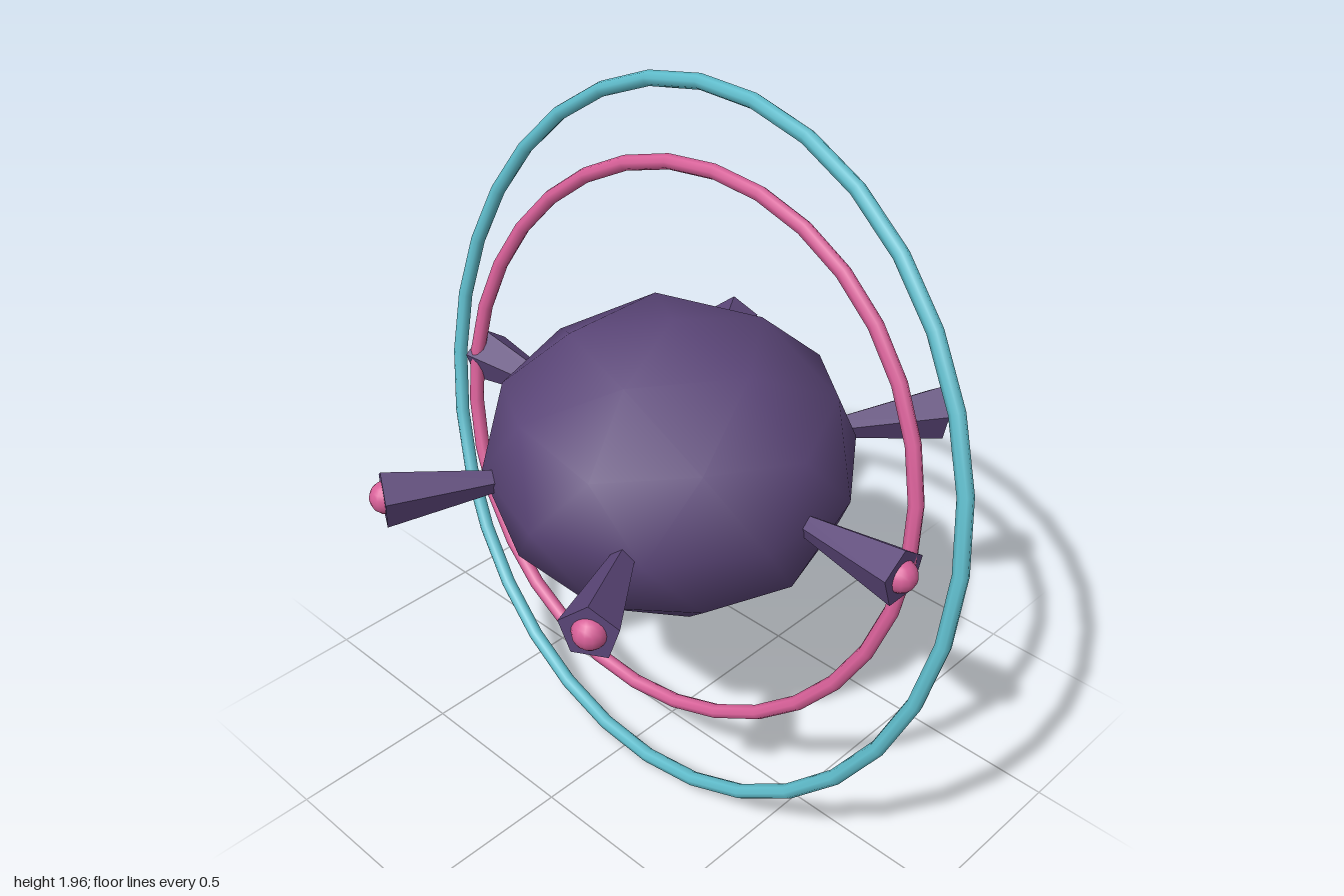
import * as THREE from 'three';

export function createModel() {
  const model = new THREE.Group();
  model.name = 'ringedStation';

  const makeMaterial = (name, color) => {
    const material = new THREE.MeshStandardMaterial({ color });
    material.name = name;
    return material;
  };
  const purple = makeMaterial('dusky purple', 0x5b4678);
  const pink = makeMaterial('rose pink', 0xd65f97);
  const teal = makeMaterial('soft teal', 0x5fbccb);

  const add = (parent, name, geometry, material) => {
    const mesh = new THREE.Mesh(geometry, material);
    mesh.name = name;
    parent.add(mesh);
    return mesh;
  };

  const bodyY = 0.957;
  const ringY = 0.982;

  // Body: a coarse sphere with a corner at the pole, flattened in height
  const bodyGeometry = new THREE.IcosahedronGeometry(0.522, 1);
  bodyGeometry.rotateZ(-Math.atan2(2, 1 + Math.sqrt(5)));
  bodyGeometry.scale(1, 0.8, 1);
  add(model, 'body', bodyGeometry, purple).position.y = bodyY;

  // Two tilted rings, each with 32 segments
  const addRing = (name, radius, material, swing, turn) => {
    const geometry = new THREE.TorusGeometry(radius, 0.021, 8, 32);
    geometry.rotateZ(turn);
    const ring = add(model, name, geometry, material);
    ring.position.y = ringY;
    ring.rotation.set(-0.2, swing, 0);
  };
  addRing('outerRing', 0.983, teal, -0.066, Math.PI / 32);
  addRing('innerRing', 0.773, pink, 0.06, 0);

  // Flared five-sided arm pointing along +x, one corner upwards
  let armGeometry = new THREE.CylinderGeometry(0.08, 0.026, 0.34, 5);
  armGeometry.rotateY(-Math.PI / 2);
  armGeometry.rotateZ(-Math.PI / 2);
  armGeometry.translate(0.62, 0, 0);
  armGeometry = armGeometry.toNonIndexed();
  armGeometry.computeVertexNormals();

  const lampGeometry = new THREE.SphereGeometry(0.045, 14, 10);
  lampGeometry.translate(0.782, 0, 0);

  // Six arms with a lamp in each end
  for (let i = 0; i < 6; i++) {
    const arm = new THREE.Group();
    arm.name = 'arm' + (i + 1);
    arm.position.y = bodyY + 0.003;
    arm.rotation.y = (i * Math.PI) / 3;
    add(arm, 'armHorn', armGeometry, purple);
    add(arm, 'armLamp', lampGeometry, pink);
    model.add(arm);
  }

  return model;
}
